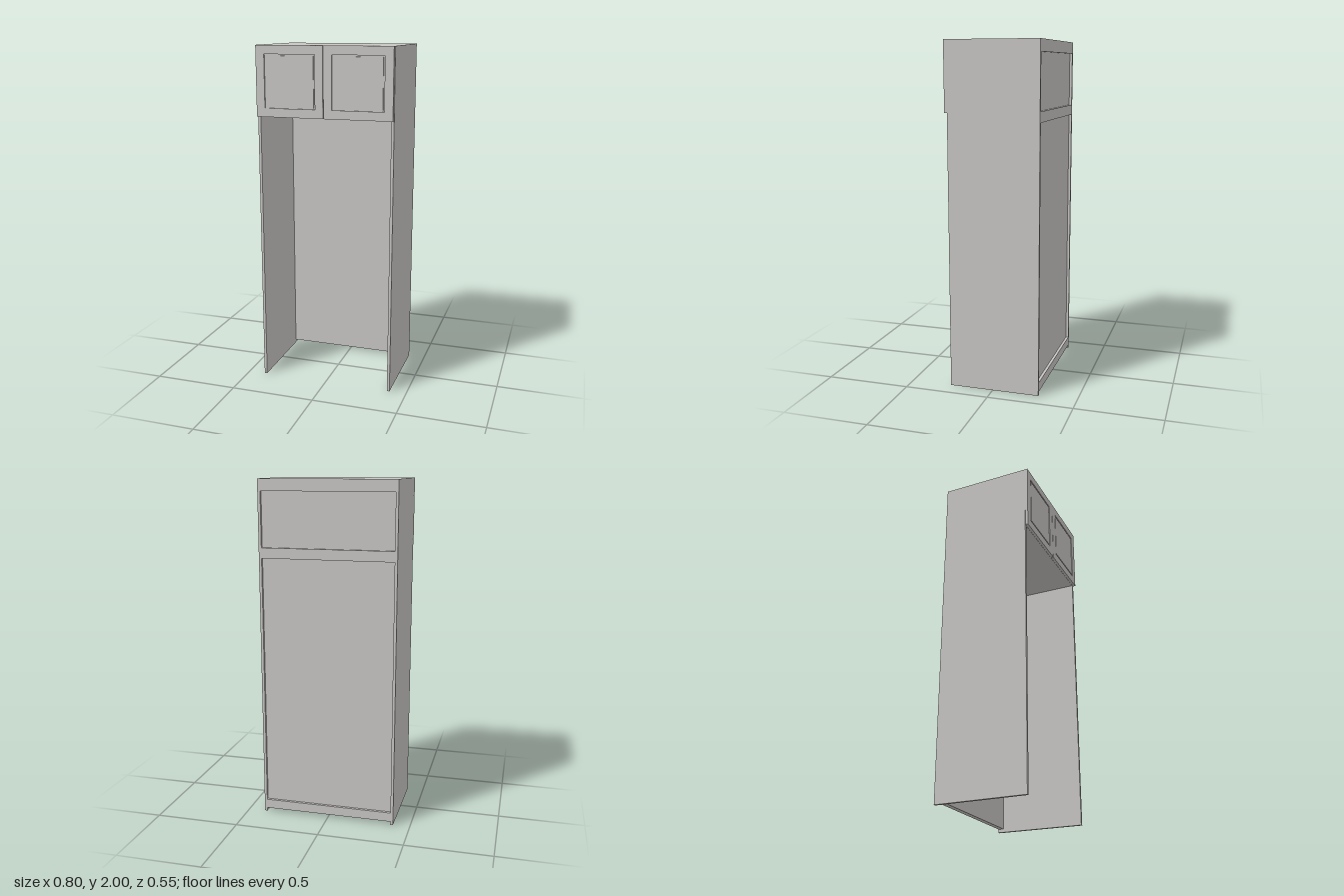
import * as THREE from 'three';

const T = 0.016; // board thickness

export function createModel() {
  const group = new THREE.Group();
  const board = new THREE.MeshStandardMaterial({ color: 0xc8c6c3 });
  board.name = 'pale grey board';

  // Box given by its minimum and maximum along each axis
  function box(name, [x0, x1], [y0, y1], [z0, z1], parent = group) {
    const mesh = new THREE.Mesh(new THREE.BoxGeometry(x1 - x0, y1 - y0, z1 - z0), board);
    mesh.position.set((x0 + x1) / 2, (y0 + y1) / 2, (z0 + z1) / 2);
    mesh.name = name;
    parent.add(mesh);
  }

  const back = -0.275, front = 0.258, doorFront = 0.275;
  const inner = [-0.4 + T, 0.4 - T];

  // Carcass
  box('rightSide', [-0.4, inner[0]], [0, 2], [back, front]);
  box('leftSide', [inner[1], 0.4], [0, 2], [back, front]);
  box('topBoard', inner, [2 - T, 2], [back, front]);
  box('cupboardFloor', inner, [1.6, 1.6 + T], [back + T, front]);
  box('backPanel', inner, [0.02, 2 - T], [back + T, back + 2 * T]);

  // Rails across the back
  [['topRail', 1.932, 2 - T], ['middleRail', 1.556, 1.616], ['bottomRail', 0.02, 0.075]]
    .forEach(([name, y0, y1]) => box(name, inner, [y0, y1], [back, back + T]));

  // Rectangle as a shape or a hole
  function rect(x0, x1, y0, y1, Type = THREE.Shape) {
    return new Type([[x0, y0], [x1, y0], [x1, y1], [x0, y1]].map(p => new THREE.Vector2(...p)));
  }

  // Doors: a frame, a backing board and a centre panel with a groove around it
  function door(name, x0, x1, cx) {
    const leaf = new THREE.Group();
    leaf.name = name;
    const shape = rect(x0, x1, 1.6, 2);
    shape.holes.push(rect(cx - 0.15, cx + 0.15, 1.65, 1.95, THREE.Path));
    const frame = new THREE.Mesh(
      new THREE.ExtrudeGeometry(shape, { depth: doorFront - front - 0.001, bevelEnabled: false }), board);
    frame.position.z = front + 0.001;
    frame.name = 'doorFrame';
    leaf.add(frame);
    box('doorBacking', [cx - 0.15, cx + 0.15], [1.65, 1.95], [front + 0.001, doorFront - 0.008], leaf);
    box('doorPanel', [cx - 0.142, cx + 0.142], [1.658, 1.942], [doorFront - 0.008, doorFront - 0.001], leaf);
    group.add(leaf);
  }
  door('rightDoor', -0.4, -0.003, -0.2);
  door('leftDoor', 0, 0.397, 0.198);

  return group;
}
